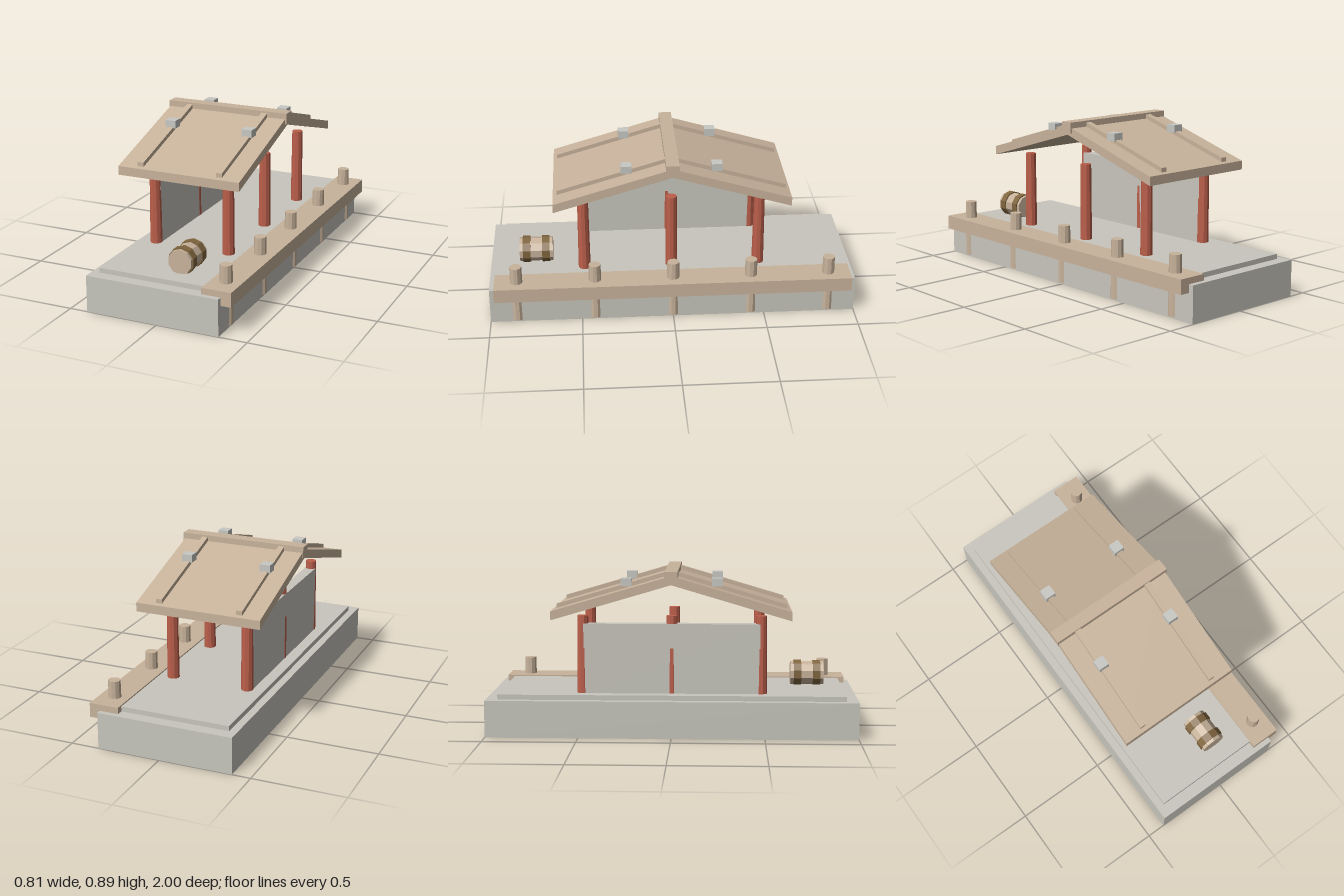
import * as THREE from 'three';

const mat = (name, color) => {
  const m = new THREE.MeshStandardMaterial({ color, flatShading: true });
  m.name = name;
  return m;
};

export function createModel() {
  const stone = mat('stone', 0xc8c6bd);
  const wood = mat('wood', 0xc8b39b);
  const red = mat('redPaint', 0xbc5f4b);
  const hoopBrown = mat('hoopBrown', 0x80653f);
  const weight = mat('weightStone', 0xc8c8c4);

  const model = new THREE.Group();
  model.name = 'dockPavilion';

  const add = (name, geometry, material) => {
    const mesh = new THREE.Mesh(geometry, material);
    mesh.name = name;
    model.add(mesh);
    return mesh;
  };
  // Box given by its limits on each axis
  const box = (name, material, [x0, x1], [y0, y1], [z0, z1]) =>
    add(name, new THREE.BoxGeometry(x1 - x0, y1 - y0, z1 - z0), material)
      .position.set((x0 + x1) / 2, (y0 + y1) / 2, (z0 + z1) / 2);
  // Ten-sided tapered post
  const post = (name, material, rTop, rBottom, x, y0, y1, z) =>
    add(name, new THREE.CylinderGeometry(rTop, rBottom, y1 - y0, 10), material)
      .position.set(x, (y0 + y1) / 2, z);

  // Quay
  box('quayBase', stone, [-0.4, 0.345], [0, 0.2], [-1, 1]);
  box('quayPaving', stone, [-0.358, 0.3], [0.19, 0.227], [-0.935, 0.935]);
  box('quayEdgeBeam', wood, [0.24, 0.402], [0.156, 0.234], [-0.972, 0.972]);

  // Mooring piles run through the beam and down the quay face
  for (const z of [-0.852, -0.426, 0, 0.426, 0.852])
    post('mooringPile', wood, 0.0325, 0.0368, 0.32, 0.01, 0.329, z);

  // Pavilion posts and rear wall
  for (const x of [-0.266, 0.162])
    for (const z of [-0.48, 0, 0.48])
      post('pavilionPost', red, 0.0295, 0.0332, x, 0.22, 0.648, z);
  box('rearWall', stone, [-0.2955, -0.2365], [0.22, 0.605], [-0.475, 0.475]);

  // Sloping strip in the z-y plane, extruded along x
  const slope = 0.295;
  const slopedStrip = (name, x0, x1, z0, z1, bottom, top, side) => {
    const shape = new THREE.Shape([
      [z0, bottom - slope * z0], [z1, bottom - slope * z1],
      [z1, top - slope * z1], [z0, top - slope * z0],
    ].map(([z, y]) => new THREE.Vector2(-z * side, y)));
    const g = new THREE.ExtrudeGeometry(shape, { depth: x1 - x0, bevelEnabled: false });
    g.rotateY(Math.PI / 2);
    g.translate(x0, 0, 0);
    add(name, g, wood);
  };

  // Roof: two panels with battens and weights, and a ridge beam
  for (const side of [1, -1]) {
    slopedStrip('roofPanel', -0.398, 0.293, 0, 0.638, 0.823, 0.871, side);
    for (const x of [-0.277, 0.172]) {
      slopedStrip('roofBatten', x - 0.017, x + 0.017, 0.02, 0.617, 0.868, 0.894, side);
      const z = 0.243 * side;
      box('roofWeight', weight, [x - 0.029, x + 0.029], [0.808, 0.85], [z - 0.029, z + 0.029]);
    }
  }
  box('ridgeBeam', wood, [-0.403, 0.302], [0.834, 0.893], [-0.035, 0.035]);

  // Barrel lying along z, with two hoops
  const drum = (name, material, radius, z0, z1) => {
    const g = new THREE.CylinderGeometry(radius, radius, z1 - z0, 10);
    g.rotateX(Math.PI / 2);
    add(name, g, material).position.set(0.054, 0.288, (z0 + z1) / 2);
  };
  drum('barrelBody', wood, 0.067, 0.653, 0.837);
  for (const z of [0.692, 0.798]) drum('barrelHoop', hoopBrown, 0.0735, z - 0.021, z + 0.021);

  return model;
}
